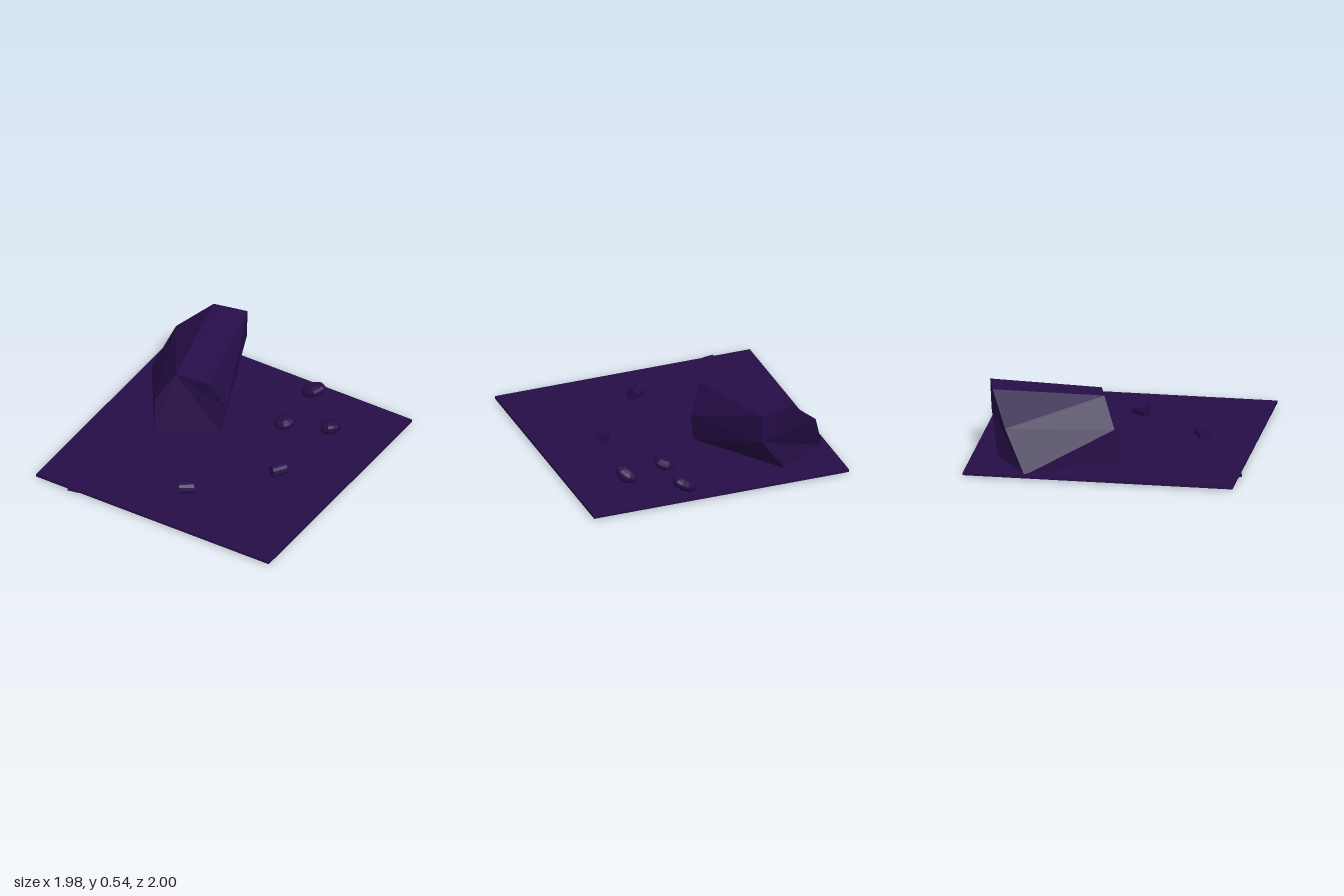
import * as THREE from 'three';

const material = new THREE.MeshStandardMaterial({ color: 0x260e48, flatShading: true });

function add(group, name, geometry, x = 0, y = 0, z = 0) {
  const mesh = new THREE.Mesh(geometry, material);
  mesh.name = name;
  mesh.position.set(x, y, z);
  group.add(mesh);
  return mesh;
}

// Closed faceted solid between two matching six-point rings
function boulderGeometry() {
  const back = [
    [-0.95, 0.01, -0.555], [-0.84, 0.32, -0.715], [-0.6, 0.535, -0.845],
    [-0.35, 0.53, -0.905], [-0.35, 0.31, -0.895], [-0.57, 0.01, -0.81],
  ];
  const front = [
    [-0.515, 0.01, 0.11], [-0.555, 0.26, 0.04], [-0.435, 0.475, -0.055],
    [-0.18, 0.45, -0.115], [-0.08, 0.23, -0.175], [-0.115, 0.01, -0.15],
  ];
  const n = back.length;
  const positions = [];
  const triangle = (...corners) => corners.forEach((c) => positions.push(...c));
  for (let i = 0; i < n; i++) {
    const j = (i + 1) % n;
    // Two side facets
    triangle(back[j], back[i], front[j]);
    triangle(back[i], front[i], front[j]);
    // End caps as fans
    if (i !== 4 && j !== 4) triangle(back[4], back[i], back[j]);
    if (i !== 2 && j !== 2) triangle(front[2], front[j], front[i]);
  }
  const geometry = new THREE.BufferGeometry();
  geometry.setAttribute('position', new THREE.Float32BufferAttribute(positions, 3));
  geometry.computeVertexNormals();
  return geometry;
}

export function createModel() {
  const model = new THREE.Group();
  model.name = 'rockyGround';

  // Flat square ground
  add(model, 'groundSlab', new THREE.BoxGeometry(1.976, 0.02, 1.975), 0, 0.01, -0.0125);

  // Large leaning boulder
  add(model, 'boulder', boulderGeometry());

  // Tilted flattened stones: position, radii, turn, tilt
  const stones = [
    [[0.235, 0.075, -0.865], [0.1, 0.05, 0.075], 0, 0.5],
    [[0.565, 0.07, -0.56], [0.092, 0.055, 0.075], -0.75, 0.5],
    [[0.235, 0.045, -0.465], [0.085, 0.05, 0.078], 0, 0.35],
  ];
  for (const [position, radii, turn, tilt] of stones) {
    const stone = add(model, 'stone', new THREE.SphereGeometry(1, 12, 8), ...position);
    stone.scale.set(...radii);
    stone.rotation.set(0, turn, tilt, 'YXZ');
  }

  // Short logs lying on their sides: x, z, turn
  for (const [x, z, turn] of [[0.505, 0.06, 1.0], [0.05, 0.585, 0.58]]) {
    const geometry = new THREE.CylinderGeometry(0.046, 0.046, 0.11, 12).rotateZ(Math.PI / 2);
    add(model, 'log', geometry, x, 0.066, z).rotation.y = turn;
  }

  // Sunken chip poking out of the front edge
  add(model, 'edgeChip', new THREE.BoxGeometry(0.085, 0.017, 0.05), -0.67, 0.01, 0.965).rotation.y = 0.18;

  return model;
}
